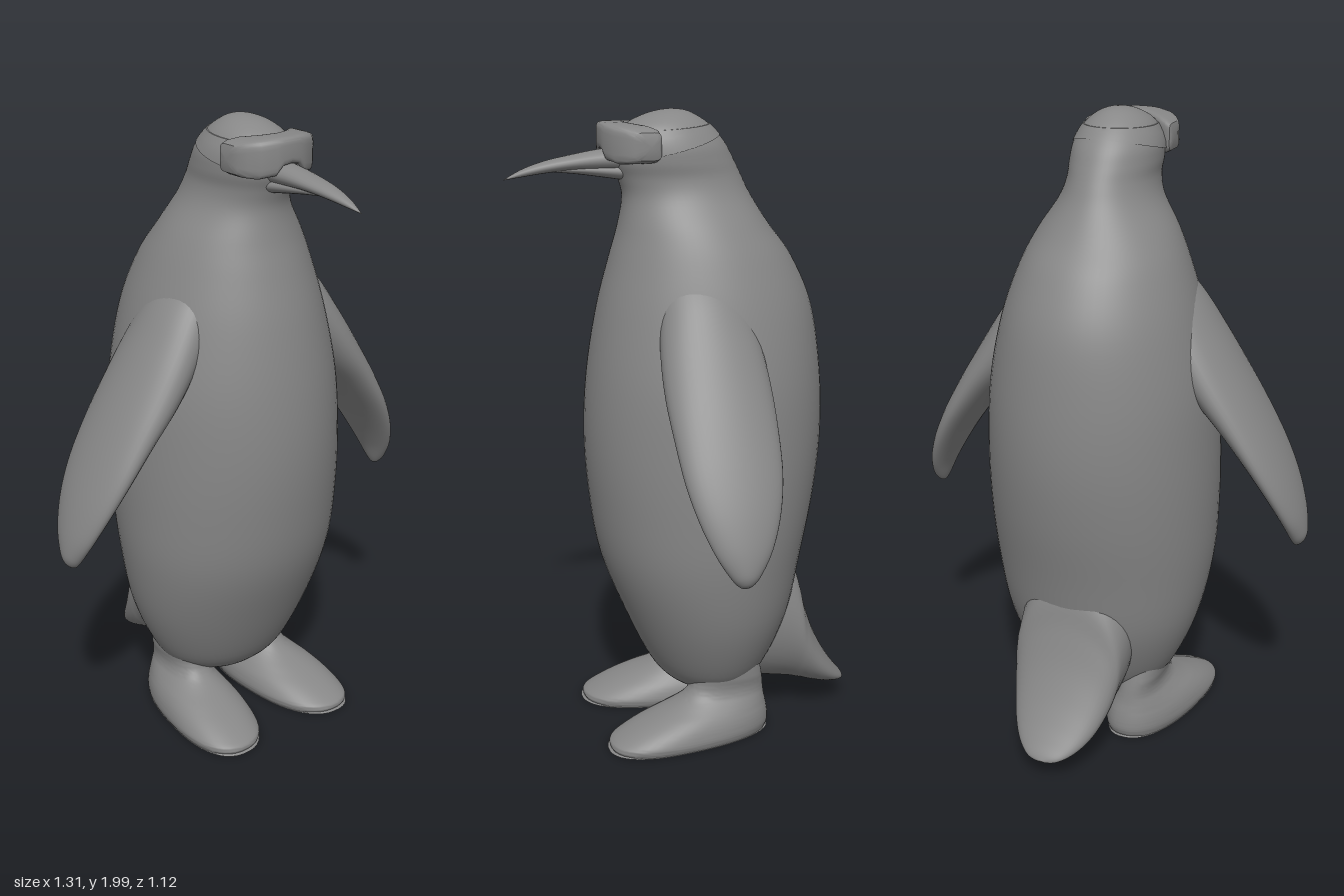
import * as THREE from 'three';
import { toCreasedNormals } from 'three/addons/utils/BufferGeometryUtils.js';

const grey = new THREE.MeshStandardMaterial({ color: 0x878787 });
const V = (x, y, z) => new THREE.Vector3(x, y, z);
const X = V(1, 0, 0), Y = V(0, 1, 0), Z = V(0, 0, 1);

// Smooth in-between rows of a section table
function smooth(rows, steps = 5) {
  const out = [];
  const n = rows.length;
  for (let i = 0; i < n - 1; i++) {
    const p = [rows[Math.max(i - 1, 0)], rows[i], rows[i + 1], rows[Math.min(i + 2, n - 1)]];
    for (let s = 0; s < steps; s++) {
      const t = s / steps;
      out.push(rows[i].map((_, k) => {
        const [a, b, c, d] = p.map((r) => r[k]);
        return b + 0.5 * t * (c - a + t * (2 * a - 5 * b + 4 * c - d + t * (3 * (b - c) + d - a)));
      }));
    }
  }
  out.push(rows[n - 1]);
  return out;
}

// Skin through sections [x, y, z, radiusU, radiusV]; power below 1 squares the outline
function loft(rows, u, v, sides = 40, power = 1) {
  const pos = [], index = [];
  const bend = (c) => Math.sign(c) * Math.abs(c) ** power;
  for (const [x, y, z, a, b] of rows) {
    for (let j = 0; j < sides; j++) {
      const t = ((j + 0.5) / sides) * Math.PI * 2;
      const p = V(x, y, z)
        .addScaledVector(u, Math.max(a, 0) * bend(Math.cos(t)))
        .addScaledVector(v, Math.max(b, 0) * bend(Math.sin(t)));
      pos.push(p.x, p.y, p.z);
    }
  }
  const first = rows[0], last = rows[rows.length - 1];
  const along = V(last[0] - first[0], last[1] - first[1], last[2] - first[2]);
  const outward = u.clone().cross(v).dot(along) > 0;
  for (let i = 0; i < rows.length - 1; i++) {
    for (let j = 0; j < sides; j++) {
      const k = (j + 1) % sides;
      const a = i * sides + j, b = i * sides + k, c = a + sides, d = b + sides;
      if (outward) index.push(a, b, d, a, d, c);
      else index.push(a, d, b, a, c, d);
    }
  }
  const g = new THREE.BufferGeometry();
  g.setAttribute('position', new THREE.Float32BufferAttribute(pos, 3));
  g.setIndex(index);
  g.computeVertexNormals();
  return g;
}

// Torso and head: height, half width, front z, back z
const bodyRows = smooth([
  [0.125, 0, -0.07, -0.07], [0.13, 0.08, 0.0, -0.15], [0.16, 0.17, 0.06, -0.21],
  [0.23, 0.24, 0.12, -0.265], [0.4, 0.315, 0.2, -0.335], [0.6, 0.355, 0.275, -0.376],
  [0.8, 0.366, 0.308, -0.415], [1.0, 0.363, 0.32, -0.436], [1.2, 0.348, 0.308, -0.43],
  [1.4, 0.305, 0.275, -0.4], [1.55, 0.256, 0.236, -0.335], [1.65, 0.21, 0.208, -0.262],
  [1.74, 0.153, 0.194, -0.205], [1.8, 0.133, 0.208, -0.175], [1.85, 0.134, 0.226, -0.15],
  [1.9, 0.129, 0.222, -0.122], [1.95, 0.102, 0.19, -0.078], [1.98, 0.067, 0.135, -0.035],
  [1.995, 0.032, 0.085, 0.0], [2.0, 0, 0.042, 0.042],
]);

// Point on the head at a height and angle, pushed out a little
function headPoint(y, t, gap) {
  const i = bodyRows.findIndex((r) => r[0] >= y);
  const f = (y - bodyRows[i - 1][0]) / (bodyRows[i][0] - bodyRows[i - 1][0]);
  const [, w, front, back] = bodyRows[i].map((q, k) => THREE.MathUtils.lerp(bodyRows[i - 1][k], q, f));
  return V((w + gap) * Math.sin(t), y, (front + back) / 2 + ((front - back) / 2 + gap) * Math.cos(t));
}

// Thin band round the head, rising toward the back
function strapGeometry() {
  const n = 64, pos = [], index = [];
  const rings = [[0, 0], [0, 0.004], [0.33, 0.004], [0.67, 0.004], [1, 0.004], [1, 0]];
  const m = rings.length;
  for (let i = 0; i <= n; i++) {
    const t = (i / n) * Math.PI * 2;
    const back = (1 - Math.cos(t)) / 2;
    const low = 1.845 + 0.08 * back, high = 1.94 + 0.015 * back;
    for (const [f, gap] of rings) pos.push(...headPoint(low + (high - low) * f, t, gap).toArray());
  }
  for (let i = 0; i < n; i++) {
    for (let j = 0; j < m - 1; j++) {
      const a = i * m + j, b = a + m;
      index.push(a, b, b + 1, a, b + 1, a + 1);
    }
  }
  const g = new THREE.BufferGeometry();
  g.setAttribute('position', new THREE.Float32BufferAttribute(pos, 3));
  g.setIndex(index);
  return toCreasedNormals(g, 0.7);
}

// Goggles: sections across x as [x, bottom, top, front, back], with a notch for the beak
function goggleGeometry() {
  const half = [
    [0, 1.888, 1.966, 0.268, 0.18], [0.03, 1.883, 1.966, 0.266, 0.175], [0.05, 1.856, 1.965, 0.261, 0.165],
    [0.095, 1.849, 1.96, 0.243, 0.125], [0.122, 1.853, 1.953, 0.215, 0.11],
    [0.138, 1.862, 1.943, 0.19, 0.108], [0.143, 1.88, 1.925, 0.165, 0.115], [0.143, 1.9, 1.9, 0.14, 0.14],
  ];
  const all = [...half.slice(1).reverse().map(([x, ...r]) => [-x, ...r]), ...half];
  const rows = all.map(([x, lo, hi, f, b]) => [x, (lo + hi) / 2, (f + b) / 2, (hi - lo) / 2, (f - b) / 2]);
  return toCreasedNormals(loft(rows, Y, Z, 24, 0.35), 0.6);
}

// Foot and ankle in one, from the flat sole up into the body: height, centre x, half width, front z, back z
function footGeometry(s) {
  const rows = smooth([
    [0.008, 0.16, 0, 0.03, 0.03], [0.008, 0.16, 0.11, 0.285, -0.215], [0.012, 0.16, 0.121, 0.298, -0.23],
    [0.03, 0.16, 0.128, 0.3, -0.238], [0.05, 0.16, 0.127, 0.268, -0.239], [0.075, 0.16, 0.12, 0.215, -0.236],
    [0.1, 0.16, 0.107, 0.152, -0.231], [0.125, 0.158, 0.09, 0.09, -0.225], [0.15, 0.156, 0.074, 0.048, -0.221],
    [0.18, 0.155, 0.068, 0.025, -0.217], [0.22, 0.152, 0.075, 0.02, -0.21], [0.28, 0.145, 0.085, 0.02, -0.2],
  ]);
  const g = loft(rows.map(([y, x, w, f, b]) => [s * x, y, (f + b) / 2, w, (f - b) / 2]), X, Z, 48, 0.85);
  // Turn the toes out and narrow the heel
  const p = g.attributes.position;
  for (let i = 0; i < p.count; i++) {
    const z = p.getZ(i) + 0.03;
    const low = THREE.MathUtils.clamp((0.2 - p.getY(i)) / 0.1, 0, 1);
    const x = s * 0.155 + (p.getX(i) - s * 0.155) * (1 + 0.35 * z * low);
    p.setX(i, x + s * 0.1 * z * low);
  }
  g.computeVertexNormals();
  return toCreasedNormals(g, 0.9);
}

export function createModel() {
  const model = new THREE.Group();
  const add = (name, geometry, parent = model) => {
    const mesh = new THREE.Mesh(geometry, grey);
    mesh.name = name;
    parent.add(mesh);
  };

  add('body', loft(bodyRows.map(([y, w, f, b]) => [0, y, (f + b) / 2, w, (f - b) / 2]), X, Z, 64));

  // Tail, sliced along z: z, top, bottom, half width
  const tail = smooth([
    [-0.1, 0.7, 0.15, 0.13], [-0.24, 0.68, 0.122, 0.18], [-0.34, 0.57, 0.106, 0.18],
    [-0.375, 0.445, 0.099, 0.171], [-0.41, 0.335, 0.09, 0.157], [-0.45, 0.245, 0.08, 0.138],
    [-0.49, 0.175, 0.073, 0.112], [-0.525, 0.125, 0.069, 0.08], [-0.549, 0.095, 0.069, 0.045],
    [-0.559, 0.078, 0.078, 0],
  ]);
  add('tail', loft(tail.map(([z, t, b, w]) => [0, (t + b) / 2, z, w, (t - b) / 2]), X, Y));

  // Beak: curved upper half over a shorter lower half
  add('upperBeak', loft(smooth([
    [0, 1.858, 0.16, 0.054, 0.038], [0, 1.855, 0.265, 0.046, 0.031], [0, 1.849, 0.35, 0.04, 0.023],
    [0, 1.838, 0.43, 0.03, 0.018], [0, 1.822, 0.5, 0.016, 0.011], [0, 1.803, 0.557, 0, 0],
  ]), X, Y, 24));
  add('lowerBeak', loft(smooth([
    [0, 1.815, 0.15, 0.052, 0.03], [0, 1.822, 0.24, 0.04, 0.022], [0, 1.828, 0.33, 0.028, 0.014],
    [0, 1.829, 0.4, 0.017, 0.007], [0, 1.828, 0.45, 0, 0],
  ]), X, Y, 24));

  add('goggles', goggleGeometry());
  add('goggleStrap', strapGeometry());

  // Paired parts, mirrored in x
  for (const s of [1, -1]) {
    const side = new THREE.Group();
    side.name = s > 0 ? 'leftLimbs' : 'rightLimbs';
    model.add(side);

    // Wing: flat paddle growing out of the shoulder, hanging down and out
    const wing = smooth([
      [0.13, 1.56, 0, 0.05, 0.1], [0.21, 1.425, 0, 0.086, 0.135], [0.285, 1.312, 0, 0.088, 0.155],
      [0.36, 1.205, 0, 0.081, 0.162], [0.44, 1.1, 0, 0.066, 0.158], [0.515, 0.99, 0, 0.053, 0.147],
      [0.572, 0.89, 0, 0.044, 0.122], [0.612, 0.8, 0, 0.036, 0.085], [0.631, 0.735, 0, 0.029, 0.045],
      [0.635, 0.708, 0, 0.018, 0.02], [0.635, 0.701, 0, 0, 0],
    ]);
    add('wing', loft(wing.map(([x, ...r]) => [s * x, ...r]), V(s * 0.82, 0.57, 0), Z), side);

    add('foot', footGeometry(s), side);
  }
  return model;
}
